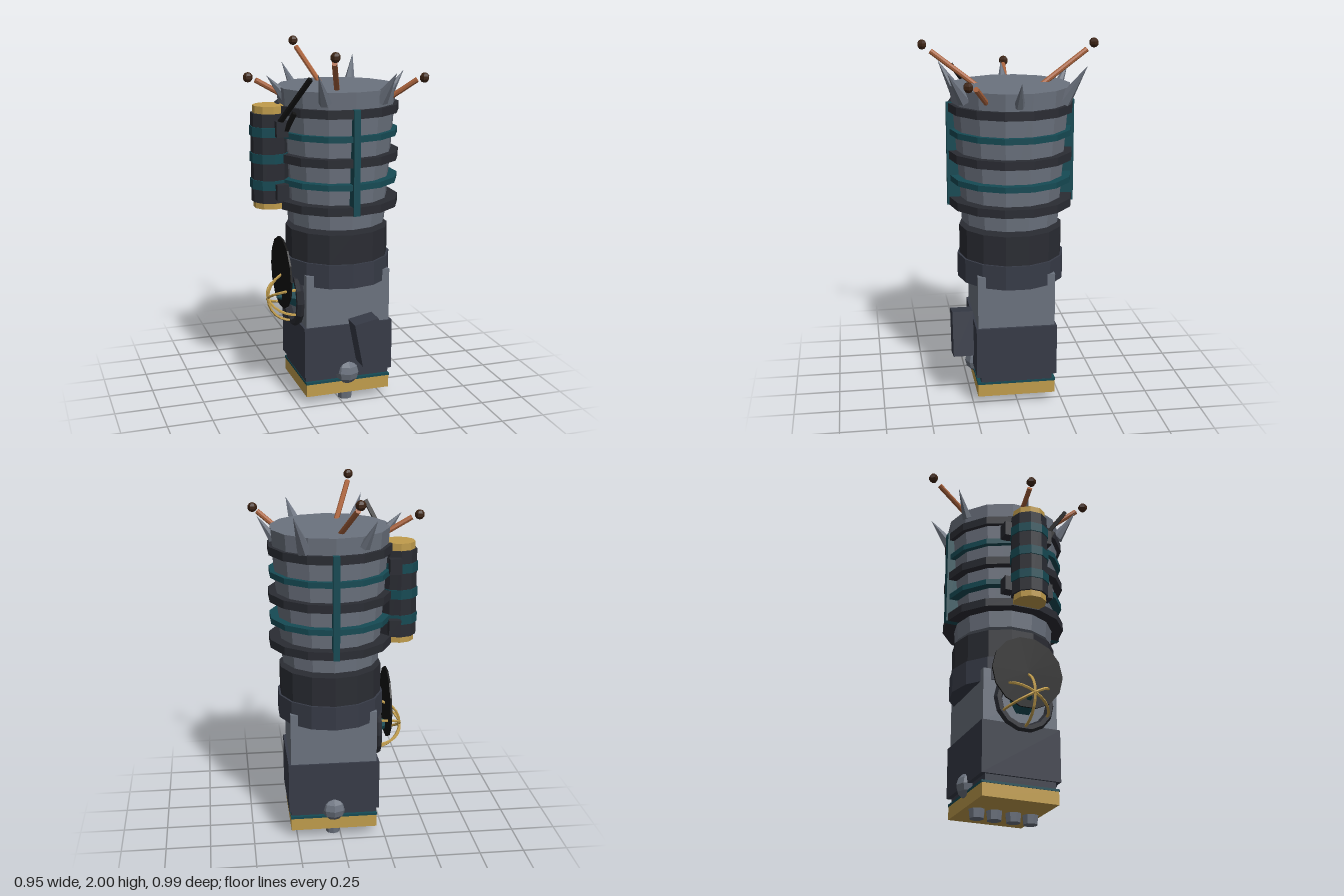
import * as THREE from 'three';

const COLORS = {
  steel: 0x6b727e, dark: 0x2a2c33, slate: 0x373b47, teal: 0x164a54,
  gold: 0xc09c4c, copper: 0xa8623c, brown: 0x3d2414, black: 0x121212,
};
const mats = {};
for (const key in COLORS) {
  mats[key] = new THREE.MeshStandardMaterial({ color: COLORS[key], flatShading: true });
}

// Axis of the whole body
const CX = 0.04, CZ = 0.008;

export function createModel() {
  const root = new THREE.Group();
  root.name = 'device';

  const add = (name, geo, mat, x = 0, y = 0, z = 0) => {
    const mesh = new THREE.Mesh(geo, mats[mat]);
    mesh.name = name;
    mesh.position.set(x, y, z);
    root.add(mesh);
    return mesh;
  };
  // Upright cylinder between two heights
  const drum = (name, mat, rTop, rBottom, y0, y1, x = CX, z = CZ, sides = 14) =>
    add(name, new THREE.CylinderGeometry(rTop, rBottom, y1 - y0, sides), mat, x, (y0 + y1) / 2, z);
  // Box between two heights, centred on the body axis
  const slab = (name, mat, w, d, y0, y1, x = CX, z = CZ) =>
    add(name, new THREE.BoxGeometry(w, y1 - y0, d), mat, x, (y0 + y1) / 2, z);
  // Aim a y-up geometry from point a to point b
  const UP = new THREE.Vector3(0, 1, 0);
  const between = (name, mat, a, b, makeGeo) => {
    const p = new THREE.Vector3(...a), q = new THREE.Vector3(...b);
    const dir = q.clone().sub(p);
    const mesh = add(name, makeGeo(dir.length()), mat);
    mesh.position.copy(p).add(q).multiplyScalar(0.5);
    mesh.quaternion.setFromUnitVectors(UP, dir.normalize());
    return mesh;
  };

  // Foot: pegs, gold base and trim
  for (const z of [0.17, 0.07, -0.04, -0.14]) {
    drum('footPeg', 'steel', 0.047, 0.04, 0, 0.06, CX, z, 8);
  }
  slab('goldBase', 'gold', 0.49, 0.435, 0.05, 0.122);
  slab('baseTrim', 'teal', 0.495, 0.44, 0.122, 0.135);
  slab('baseNeck', 'slate', 0.49, 0.4, 0.135, 0.17);

  // Square housing with corner posts
  slab('lowerHousing', 'slate', 0.515, 0.45, 0.17, 0.46);
  slab('upperHousing', 'steel', 0.485, 0.428, 0.46, 0.71);
  for (const sx of [-1, 1]) for (const sz of [-1, 1]) {
    slab('cornerPost', 'steel', 0.048, 0.048, 0.46, 0.76, CX + sx * 0.2185, CZ + sz * 0.19);
  }
  for (const s of [-1, 1]) {
    add('sideBolt', new THREE.SphereGeometry(0.073, 8, 6), 'steel', CX, 0.172, CZ + s * 0.192);
  }
  const plate = slab('tiltedPlate', 'slate', 0.14, 0.115, 0.258, 0.512, 0.127, 0.297);
  plate.rotation.z = 0.19;

  // Round collar
  drum('lowerCollar', 'slate', 0.3, 0.3, 0.695, 0.83);
  drum('upperCollar', 'dark', 0.288, 0.288, 0.83, 0.995);

  // Barrel with bands and upright straps
  drum('barrel', 'steel', 0.33, 0.272, 1.02, 1.775);
  for (const y of [1.138, 1.399, 1.66]) drum('darkBand', 'dark', 0.345, 0.345, y - 0.023, y + 0.023);
  for (const y of [1.268, 1.527]) drum('tealBand', 'teal', 0.339, 0.339, y - 0.016, y + 0.016);
  for (const s of [-1, 1]) {
    slab('barrelStrap', 'teal', 0.036, 0.085, 1.115, 1.685, CX, CZ + s * 0.309);
  }

  // Spikes around the rim: base, tip, radius
  const spikes = [
    [[0.2, 1.7, -0.255], [0.265, 1.9, -0.37], 0.042],
    [[-0.115, 1.72, -0.28], [-0.17, 1.87, -0.355], 0.03],
    [[0.345, 1.71, 0.005], [0.435, 1.84, 0.005], 0.03],
    [[0.2, 1.72, 0.27], [0.252, 1.87, 0.367], 0.042],
    [[-0.115, 1.72, 0.29], [-0.183, 1.88, 0.382], 0.036],
    [[-0.25, 1.72, 0.005], [-0.355, 1.84, 0.005], 0.036],
  ];
  for (const [a, b, r] of spikes) {
    between('rimSpike', 'steel', a, b, (len) => new THREE.ConeGeometry(r, len, 6));
  }

  // Copper rods, each with a loose ball beyond its end
  const rods = [
    [[0.008, 1.75, -0.155], [-0.058, 1.94, -0.433], [-0.065, 1.975, -0.475]],
    [[-0.01, 1.75, 0.17], [-0.11, 1.94, 0.425], [-0.12, 1.975, 0.47]],
    [[0.3, 1.72, 0.17], [0.42, 1.815, 0.238], [0.445, 1.83, 0.28]],
    [[-0.28, 1.74, -0.01], [-0.41, 1.815, -0.016], [-0.45, 1.83, -0.025]],
  ];
  for (const [a, b, ball] of rods) {
    between('copperRod', 'copper', a, b, (len) => new THREE.CylinderGeometry(0.015, 0.015, len, 8));
    add('rodBall', new THREE.SphereGeometry(0.028, 6, 5), 'brown', ...ball);
  }

  // Side canister with caps, bands and brackets
  const tx = -0.343, tz = 0.005;
  drum('canisterCaps', 'gold', 0.092, 0.092, 1.12, 1.683, tx, tz, 10);
  drum('canister', 'dark', 0.103, 0.103, 1.155, 1.643, tx, tz, 10);
  for (const y of [1.255, 1.4, 1.545]) {
    drum('canisterBand', 'teal', 0.109, 0.109, y - 0.026, y + 0.026, tx, tz, 10);
  }
  for (const y of [1.225, 1.57]) for (const s of [-1, 1]) {
    slab('canisterBracket', 'dark', 0.066, 0.055, y - 0.045, y + 0.04, -0.307, tz + s * 0.115);
  }

  // Slim black bars beside the canister
  const bar = (len) => new THREE.BoxGeometry(0.022, len, 0.022);
  between('blackBar', 'black', [-0.33, 1.58, 0.115], [-0.2, 1.85, 0.305], bar);
  between('shortBlackBar', 'black', [-0.295, 1.53, 0.12], [-0.255, 1.66, 0.195], bar);

  // Side lamp: ring, core, domed gold cage and thin disc
  const lx = -0.222, ly = 0.59, lz = 0.02;
  const ring = add('lampRing', new THREE.TorusGeometry(0.15, 0.024, 6, 14), 'dark', lx, ly, lz);
  ring.rotation.y = Math.PI / 2;
  const core = add('lampCore', new THREE.ConeGeometry(0.075, 0.12, 6), 'teal', lx - 0.04, ly, lz);
  core.rotation.z = Math.PI / 2;
  for (let i = 0; i < 3; i++) {
    const arc = new THREE.TorusGeometry(0.147, 0.008, 5, 12, Math.PI);
    arc.rotateZ(Math.PI / 2); // bulge towards -x
    arc.rotateX((i * Math.PI) / 3);
    add('lampCageArc', arc, 'gold', lx, ly, lz);
  }
  const disc = add('thinDisc', new THREE.CylinderGeometry(0.205, 0.205, 0.01, 14), 'black', -0.286, 0.733, 0.015);
  disc.rotation.z = Math.PI / 2;

  return root;
}
